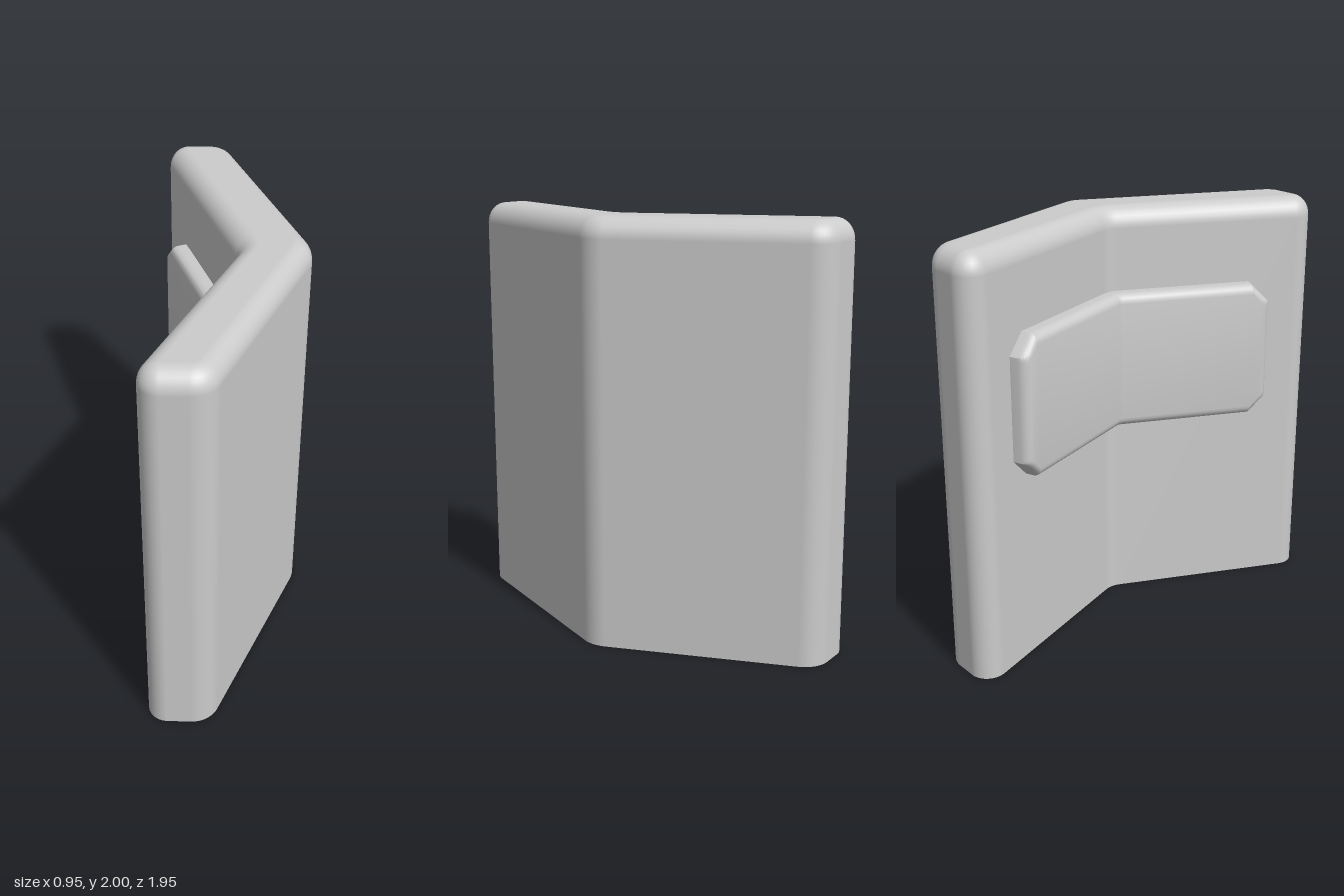
import * as THREE from 'three';
import { toCreasedNormals } from 'three/addons/utils/BufferGeometryUtils.js';

const V = (x, z) => new THREE.Vector2(x, z);

// Plan corners (x, z) with fillet radii, going round the wall
const backLeft = V(0.075, -1.005), frontLeft = V(-0.54, 0.895), innerBend = V(0.155, 0.07);
const PLAN = [
  [backLeft, 0.09], [V(0.385, -0.92), 0.13], [V(0.483, 0.14), 0.16],
  [V(-0.215, 0.99), 0.13], [frontLeft, 0.09], [innerBend, 0.11],
];

// Arc points of one rounded corner, each with its outward normal
function roundCorner(a, p, c, r, steps = 8) {
  const u = p.clone().sub(a).normalize(), v = c.clone().sub(p).normalize();
  const turn = Math.atan2(u.cross(v), u.dot(v)), sign = Math.sign(turn);
  const n0 = V(u.y, -u.x);
  const centre = p.clone()
    .addScaledVector(u, -r * Math.tan(Math.abs(turn) / 2))
    .addScaledVector(n0, -r * sign);
  return Array.from({ length: steps + 1 }, (_, i) => {
    const n = n0.clone().rotateAround(V(0, 0), (turn * i) / steps);
    return { p: centre.clone().addScaledVector(n, r * sign), n };
  });
}

// Bent wall: straight sides, rounded top edge, flat bottom
function wallGeometry() {
  const outline = PLAN.flatMap(([p, r], i) =>
    roundCorner(PLAN[(i + 5) % 6][0], p, PLAN[(i + 1) % 6][0], r));
  const count = outline.length, inset = 0.088, drop = 0.1, steps = 8;
  const pos = [], nor = [], index = [];
  const ring = (y, d, flat, up) => outline.forEach(({ p, n }) => {
    pos.push(p.x - n.x * d, y, p.y - n.y * d);
    nor.push(n.x * flat, up, n.y * flat);
  });
  ring(0, 0, 1, 0);
  for (let k = 0; k <= steps; k++) {
    const a = (k / steps) * Math.PI / 2;
    ring(2 - drop + drop * Math.sin(a), inset * (1 - Math.cos(a)), Math.cos(a), Math.sin(a));
  }
  for (let k = 0; k <= steps; k++) {
    for (let i = 0; i < count; i++) {
      const a = k * count + i, b = k * count + (i + 1) % count;
      index.push(a, a + count, b, b, a + count, b + count);
    }
  }
  // Top and bottom caps
  const top = (steps + 1) * count, bottom = top + count;
  ring(0, 0, 0, -1);
  const caps = (d) => THREE.ShapeUtils.triangulateShape(
    outline.map(({ p, n }) => p.clone().addScaledVector(n, -d)), []);
  for (const [a, b, c] of caps(inset)) index.push(top + a, top + c, top + b);
  for (const [a, b, c] of caps(0)) index.push(bottom + a, bottom + b, bottom + c);

  const geo = new THREE.BufferGeometry();
  geo.setAttribute('position', new THREE.Float32BufferAttribute(pos, 3));
  geo.setAttribute('normal', new THREE.Float32BufferAttribute(nor, 3));
  geo.setIndex(index);
  return geo;
}

// Raised panel that follows the inner bend, lofted from vertical cross-sections
function panelGeometry() {
  const midY = 1.265, half = 0.335, thick = 0.085, bevel = 0.045, chamfer = 0.09;
  const ends = [0, 0, 0.004, 0.013, 0.027, 0.045, 0.09];
  const arc = roundCorner(frontLeft, innerBend, backLeft, 0.11);
  const arm = (target, length, n) => {
    const dir = target.clone().sub(innerBend).normalize();
    return ends.map((e, i) => ({
      p: innerBend.clone().addScaledVector(dir, length - e), n, e, base: i === 0,
    }));
  };
  const columns = [
    ...arm(frontLeft, 0.79, arc[0].n),
    ...arc.map((s) => ({ ...s, e: 1 })),
    ...arm(backLeft, 0.815, arc[arc.length - 1].n).reverse(),
  ];
  const pos = [], index = [], steps = 5, rows = 2 * (steps + 2);
  for (const { p, n, e, base } of columns) {
    const H = half - Math.max(0, chamfer - e);
    const limit = base ? -0.01 : thick - bevel + Math.sqrt(bevel ** 2 - Math.max(0, bevel - e) ** 2);
    const side = [[H, -0.01]];
    for (let k = 0; k <= steps; k++) {
      const a = (k / steps) * Math.PI / 2;
      side.push([H - bevel * (1 - Math.cos(a)), thick - bevel + bevel * Math.sin(a)]);
    }
    const profile = [...side.map(([y, h]) => [-y, h]), ...side.slice().reverse()];
    for (const [y, h] of profile) {
      const out = Math.min(h, limit);
      pos.push(p.x + n.x * out, midY + y, p.y + n.y * out);
    }
  }
  for (let c = 0; c < columns.length - 1; c++) {
    for (let r = 0; r < rows - 1; r++) {
      const a = c * rows + r, b = a + rows;
      index.push(a, a + 1, b, b, a + 1, b + 1);
    }
  }
  const geo = new THREE.BufferGeometry();
  geo.setAttribute('position', new THREE.Float32BufferAttribute(pos, 3));
  geo.setIndex(index);
  return toCreasedNormals(geo, 0.6);
}

export function createModel() {
  const group = new THREE.Group();
  group.name = 'bentWallWithPanel';
  const material = new THREE.MeshStandardMaterial({ color: 0xcccccc });
  const add = (name, geometry) => {
    const mesh = new THREE.Mesh(geometry, material);
    mesh.name = name;
    group.add(mesh);
  };
  add('wall', wallGeometry());
  add('raisedPanel', panelGeometry());
  return group;
}
